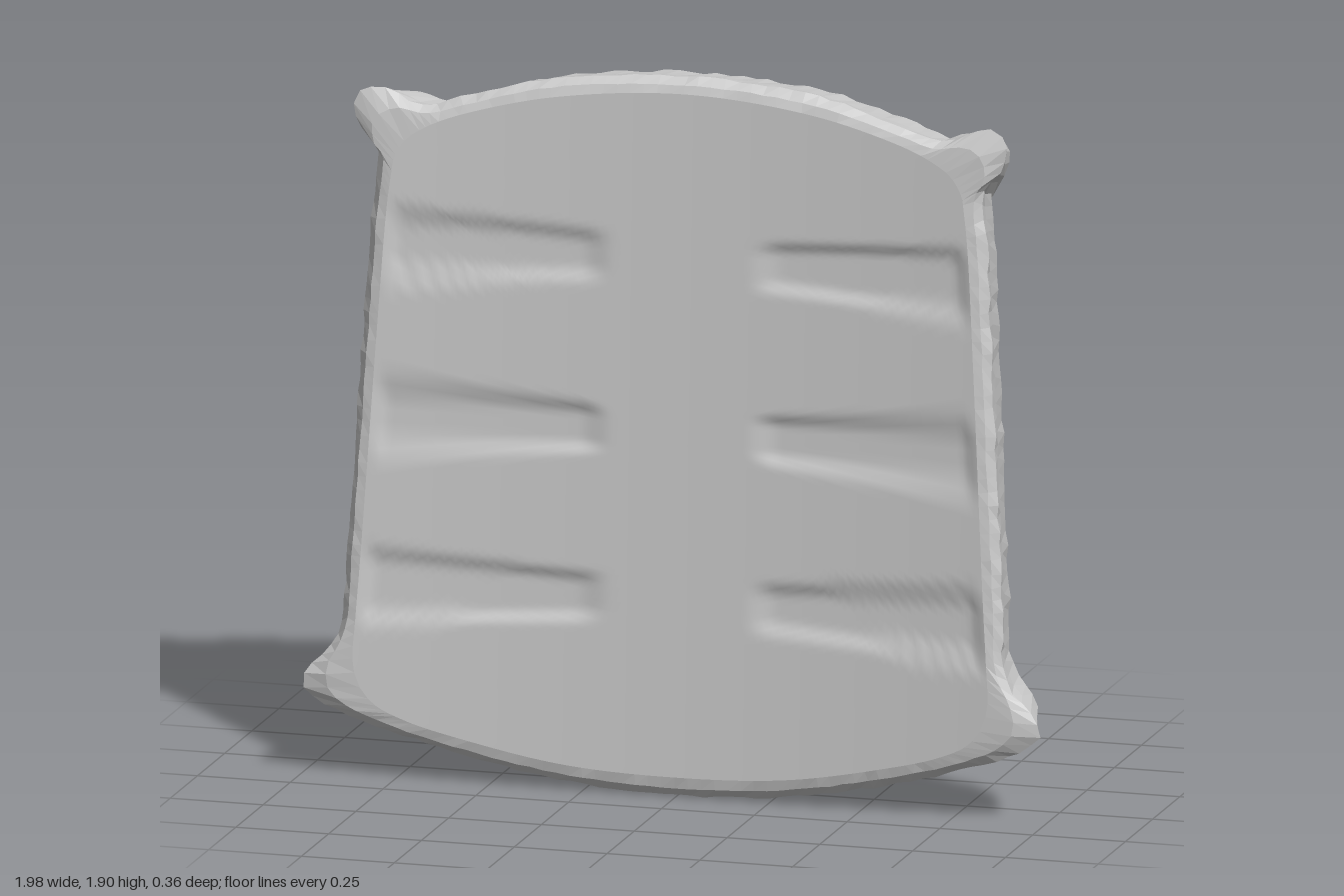
import * as THREE from 'three';

// Right halves of three matched outlines, running from bottom centre to top centre
const OUTER = [[0, .005], [.3, .025], [.6, .085], [.8, .145], [.95, .205], [.995, .25], [.975, .3], [.9, .38], [.883, .6], [.847, 1.2], [.828, 1.52],
  [.817, 1.67], [.87, 1.73], [.88, 1.79], [.85, 1.825], [.8, 1.825], [.7, 1.785], [.6, 1.81], [.35, 1.875], [0, 1.9]];
const PANEL = [[0, .06], [.3, .075], [.58, .13], [.72, .17], [.8, .21], [.84, .26], [.855, .32], [.85, .42], [.838, .6], [.803, 1.2], [.782, 1.52],
  [.77, 1.62], [.765, 1.65], [.75, 1.68], [.73, 1.705], [.7, 1.725], [.65, 1.75], [.57, 1.778], [.35, 1.83], [0, 1.86]];
const OPENING = [[0, .13], [.3, .145], [.55, .19], [.68, .225], [.73, .25], [.76, .29], [.77, .34], [.77, .42], [.757, .6], [.725, 1.2], [.71, 1.4],
  [.703, 1.47], [.695, 1.52], [.68, 1.555], [.655, 1.59], [.62, 1.62], [.57, 1.655], [.5, 1.69], [.3, 1.745], [0, 1.77]];
const MID = new THREE.Vector3(0, .96, 0);
const RING = 200;

// Closed curve from a mirrored half outline
function closedCurve(half) {
  const mirrored = half.slice(1, -1).reverse().map(([x, y]) => [-x, y]);
  return new THREE.CatmullRomCurve3([...half, ...mirrored].map(([x, y]) => new THREE.Vector3(x, y, 0)), true);
}

// Matched points on an outline, spaced evenly along the outer one
function loop(half, n) {
  const spacing = closedCurve(OUTER), curve = closedCurve(half);
  return Array.from({ length: n }, (_, i) => curve.getPoint(spacing.getUtoTmapping(i / n)));
}

const mix = (a, b, t) => a.map((p, i) => p.clone().lerp(b[i], t));

// Leaning, sideways-curved front surface and the depth of the rim behind it
const frontZ = (x, y) => .135 - .047 * y + .072 * x * x;
const rimDepth = (x, y) => .21 + .012 * y + .01 * x * x;

// Three pairs of shallow grooves that widen toward the sides
function groove(x, y, s) {
  const ax = Math.abs(x);
  const along = THREE.MathUtils.smoothstep(ax, .18, .27) * (1 - THREE.MathUtils.smoothstep(s, .95, 1));
  const half = .06 + .035 * (ax - .2) / .6;
  let depth = 0;
  for (const cy of [1.42, .965, .52]) {
    depth += .014 * (1 - THREE.MathUtils.smoothstep(Math.abs(y - cy), half - .03, half + .01));
  }
  return depth * along;
}

// Skin a list of equally long closed rings
function loft(name, rings, flatShading) {
  const n = rings[0].length;
  const index = [];
  for (let i = 0; i < rings.length - 1; i++) {
    for (let j = 0; j < n; j++) {
      const k = (j + 1) % n;
      const a = i * n + j, b = i * n + k, c = a + n, d = b + n;
      index.push(a, c, b, b, c, d);
    }
  }
  const geometry = new THREE.BufferGeometry().setFromPoints(rings.flat());
  geometry.setIndex(index);
  geometry.computeVertexNormals();
  const mesh = new THREE.Mesh(geometry, new THREE.MeshStandardMaterial({ color: 0xcccccc, flatShading }));
  mesh.name = name;
  return mesh;
}

function seeded(seed) {
  return () => (seed = (seed * 16807) % 2147483647) / 2147483647 - .5;
}

// Front face with its grooves
function frontPanel() {
  const edge = loop(PANEL, RING), steps = 56, rings = [];
  for (let i = 0; i <= steps; i++) {
    const s = i / steps;
    rings.push(edge.map((p) => {
      const q = MID.clone().lerp(p, s);
      q.z = frontZ(q.x, q.y) - groove(q.x, q.y, s);
      return q;
    }));
  }
  return loft('frontPanel', rings, false);
}

// Chipped frame with eared corners, swept from the panel edge round to the inner back wall
function rim() {
  const rand = seeded(7);
  const outer = loop(OUTER, RING), panel = loop(PANEL, RING), opening = loop(OPENING, RING);
  // each row: ring, distance behind the front surface, share of the rim depth, roughness
  const rows = [
    [panel, 0, 0, 0],
    [mix(outer, panel, .45), .007, 0, .003],
    [outer, .032, 0, .007],
    [mix(outer, opening, .09), .085, 0, .004],
    [mix(outer, opening, .22), -.04, 1, .008],
    [mix(outer, opening, .42), -.002, 1, .012],
    [mix(outer, opening, .82), 0, 1, .012],
    [opening, -.025, 1, .01],
    [mix(outer, opening, 1.04), .1, 0, .003],
    [mix(outer, opening, 1.08), .15, 0, 0],
  ];
  const rings = rows.map(([ring, back, share, rough]) => ring.map((p) => {
    const z = frontZ(p.x, p.y) - back - share * rimDepth(p.x, p.y);
    return new THREE.Vector3(p.x + rand() * rough, p.y + rand() * rough, z + rand() * rough);
  }));
  return loft('rim', rings, true);
}

// Faceted back of the panel, bulging out through the opening
function backPanel() {
  const edge = loop(OPENING, 40), steps = 8, rand = seeded(23), rings = [];
  for (let i = steps; i >= 0; i--) {
    rings.push(edge.map((p) => {
      const q = MID.clone().lerp(p, i / steps * 1.04);
      const u = Math.min(1, Math.abs(q.x) / .77), v = Math.min(1, Math.abs(q.y - MID.y) / .83);
      const rough = i > 1 && i < steps ? rand() * .008 : 0;
      q.z = frontZ(q.x, q.y) - .115 - .13 * (1 - u * u) * (1 - v * v) + rough;
      return q;
    }));
  }
  return loft('backPanel', rings, true);
}

export function createModel() {
  const group = new THREE.Group();
  group.name = 'curvedPanel';
  group.add(frontPanel(), rim(), backPanel());
  return group;
}
